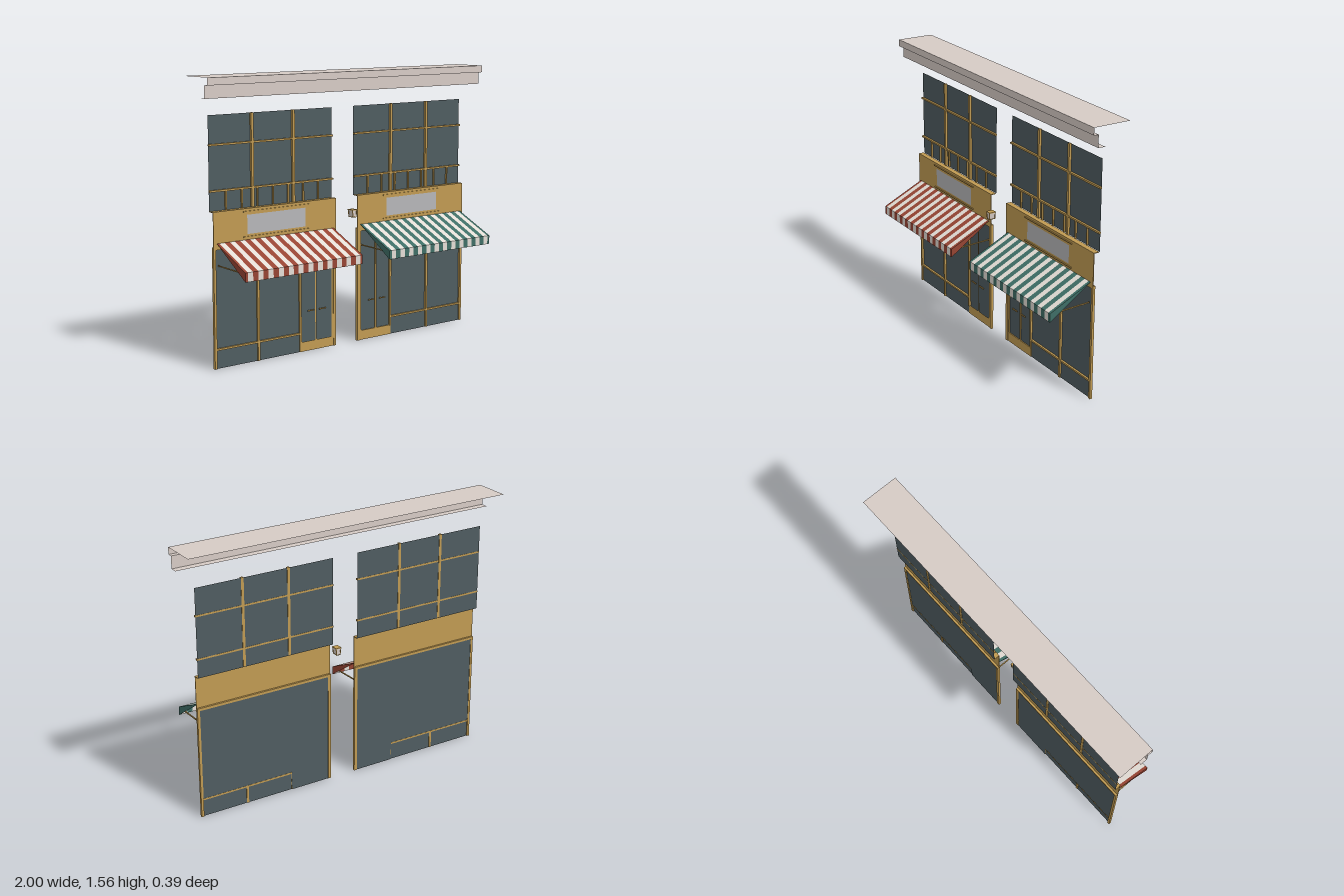
import * as THREE from 'three';

const mat = (name, color, side = THREE.FrontSide) => {
  const m = new THREE.MeshStandardMaterial({ color, side });
  m.name = name;
  return m;
};

export function createModel() {
  const D = THREE.DoubleSide;
  const gold = mat('ochre trim', 0xc09a52);
  const glass = mat('dark slate glass', 0x4f5c60, D);
  const stone = mat('cornice stone', 0xd6cbc5, D);
  const signGrey = mat('sign grey', 0xb6b6b8);
  const white = mat('awning white', 0xe3ddd5, D);
  const red = mat('awning red', 0x964433, D);
  const green = mat('awning green', 0x3f6e66, D);

  const model = new THREE.Group();
  model.name = 'shopFronts';

  const add = (parent, name, geo, material) => {
    const mesh = new THREE.Mesh(geo, material);
    mesh.name = name;
    parent.add(mesh);
    return mesh;
  };

  // Sheet made by sweeping a [z, y] profile between two x positions
  const sweepStrips = (profile, spans) => {
    const pos = [];
    for (const [a, b] of spans) {
      for (let i = 0; i < profile.length - 1; i++) {
        const [z0, y0] = profile[i], [z1, y1] = profile[i + 1];
        pos.push(a, y0, z0, a, y1, z1, b, y1, z1, a, y0, z0, b, y1, z1, b, y0, z0);
      }
    }
    const g = new THREE.BufferGeometry();
    g.setAttribute('position', new THREE.Float32BufferAttribute(pos, 3));
    g.computeVertexNormals();
    return g;
  };

  // One shop; s = 1 or -1 mirrors it across x = 0
  const shop = (s, name, stripe) => {
    const g = new THREE.Group();
    g.name = name;
    model.add(g);

    const box = (n, x0, x1, y0, y1, z0, z1, m = gold) => {
      const mesh = add(g, n, new THREE.BoxGeometry(x1 - x0, y1 - y0, z1 - z0), m);
      mesh.position.set(s * (x0 + x1) / 2, (y0 + y1) / 2, (z0 + z1) / 2);
    };
    const sheet = (n, x0, x1, y0, y1, z, m) => {
      const mesh = add(g, n, new THREE.PlaneGeometry(x1 - x0, y1 - y0), m);
      mesh.position.set(s * (x0 + x1) / 2, (y0 + y1) / 2, z);
    };

    // Upper window: glass, bars and the row of small lower lights
    sheet('upperGlass', 0.08, 0.92, 0.848, 1.357, -0.095, glass);
    for (const x of [0.36, 0.64]) box('upperMullion', x - 0.008, x + 0.008, 0.85, 1.358, -0.097, -0.082);
    for (const y of [0.955, 1.2]) box('upperRail', 0.078, 0.922, y - 0.005, y + 0.005, -0.096, -0.083);
    for (let i = 1; i < 8; i++) {
      const x = 0.08 + i * 0.105;
      box('smallBar', x - 0.004, x + 0.004, 0.85, 0.955, -0.094, -0.085);
    }

    // Fascia with cap, soffit and sign
    box('fascia', 0.08, 0.92, 0.66, 0.848, -0.062, -0.058);
    box('fasciaCap', 0.08, 0.92, 0.845, 0.849, -0.09, -0.058);
    sheet('signPanel', 0.3, 0.7, 0.71, 0.815, -0.056, signGrey);
    for (const y of [0.832, 0.695]) box('signRail', 0.275, 0.725, y - 0.003, y + 0.003, -0.058, -0.052);

    // Shop window
    sheet('shopGlass', 0.08, 0.92, 0.105, 0.66, -0.07, glass);
    sheet('doorGlass', 0.1, 0.34, 0, 0.105, -0.07, glass);
    sheet('kickPanel', 0.34, 0.905, 0, 0.105, -0.066, glass);
    box('header', 0.08, 0.92, 0.645, 0.66, -0.074, -0.058);
    box('sideJamb', 0.905, 0.92, 0, 0.66, -0.073, -0.058);
    box('innerJamb', 0.08, 0.098, 0, 0.66, -0.073, -0.058);
    box('shopMullion', 0.62, 0.634, 0, 0.65, -0.069, -0.058);
    box('doorJamb', 0.33, 0.342, 0.05, 0.65, -0.069, -0.058);
    box('windowSill', 0.34, 0.91, 0.1, 0.11, -0.071, -0.058);

    // Double door frame with two round-cornered panes
    const frame = new THREE.Shape([[0.098, 0], [0.342, 0], [0.342, 0.65], [0.098, 0.65]]
      .map(([x, y]) => new THREE.Vector2(s * x, y)));
    for (const [a, b] of [[0.112, 0.22], [0.23, 0.331]]) {
      const p = new THREE.Path(), r = 0.008, lo = 0.055, hi = 0.64;
      p.moveTo(s * a, hi);
      p.lineTo(s * a, lo + r);
      p.quadraticCurveTo(s * a, lo, s * (a + r), lo);
      p.lineTo(s * (b - r), lo);
      p.quadraticCurveTo(s * b, lo, s * b, lo + r);
      p.lineTo(s * b, hi);
      p.closePath();
      frame.holes.push(p);
    }
    add(g, 'doorFrame', new THREE.ExtrudeGeometry(frame,
      { depth: 0.006, bevelEnabled: false, curveSegments: 4 }), gold).position.z = -0.068;
    for (const [a, b] of [[0.16, 0.205], [0.245, 0.29]])
      box('doorHandle', a, b, 0.227, 0.233, -0.057, -0.051);

    // Striped awning: half stripes of colour at both ends
    const awning = new THREE.Group();
    awning.name = 'awning';
    g.add(awning);
    const profile = [[-0.056, 0.68], [0.195, 0.56], [0.195, 0.51]];
    const left = s > 0 ? 0.1 : -0.9, w = 0.8 / 24;
    const coloured = [], plain = [];
    for (let i = 0; i <= 24; i++) {
      const a = left + Math.max(0, (i - 0.5) * w), b = left + Math.min(0.8, (i + 0.5) * w);
      (i % 2 ? plain : coloured).push([a, b]);
    }
    add(awning, 'colouredStripes', sweepStrips(profile, coloured), stripe);
    add(awning, 'whiteStripes', sweepStrips(profile, plain), white);
    for (const x of [0.1, 0.9]) {
      // Side cheek drawn in z, y and turned to face x
      const cheek = new THREE.ShapeGeometry(new THREE.Shape(
        profile.map(([z, y]) => new THREE.Vector2(-z, y))));
      cheek.rotateY(Math.PI / 2);
      add(awning, 'awningCheek', cheek, stripe).position.x = s * x;
    }
    for (const x of [0.11, 0.89]) {
      const arm = add(awning, 'awningArm', new THREE.BoxGeometry(0.006, 0.006, 0.2), gold);
      arm.position.set(s * x, 0.556, 0.04);
      arm.rotation.x = 0.04;
    }
  };
  shop(-1, 'redShop', red);
  shop(1, 'greenShop', green);

  // Cornice: one open folded sheet
  add(model, 'cornice', sweepStrips([[-0.2, 1.56], [0.02, 1.56], [0.02, 1.52],
    [-0.008, 1.52], [-0.008, 1.45], [-0.05, 1.45]], [[-1, 1]]), stone);

  // Wall lantern between the shops
  const lantern = new THREE.Group();
  lantern.name = 'lantern';
  lantern.position.set(0, 0.76, -0.008);
  model.add(lantern);
  const body = new THREE.BoxGeometry(0.03, 0.036, 0.036);
  const bp = body.attributes.position;
  for (let i = 0; i < bp.count; i++) if (bp.getY(i) < 0) bp.setX(i, bp.getX(i) * 0.75);
  body.computeVertexNormals();
  add(lantern, 'lanternBody', body, stone);
  add(lantern, 'lanternCap', new THREE.BoxGeometry(0.036, 0.005, 0.041), gold).position.y = 0.02;
  add(lantern, 'lanternBase', new THREE.BoxGeometry(0.025, 0.004, 0.039), gold).position.y = -0.02;
  for (const x of [-1, 1]) for (const z of [-1, 1]) {
    const bar = add(lantern, 'lanternBar', new THREE.BoxGeometry(0.004, 0.038, 0.004), gold);
    bar.position.set(x * 0.0132, 0, z * 0.018);
    bar.rotation.z = -x * 0.1;
  }

  return model;
}
